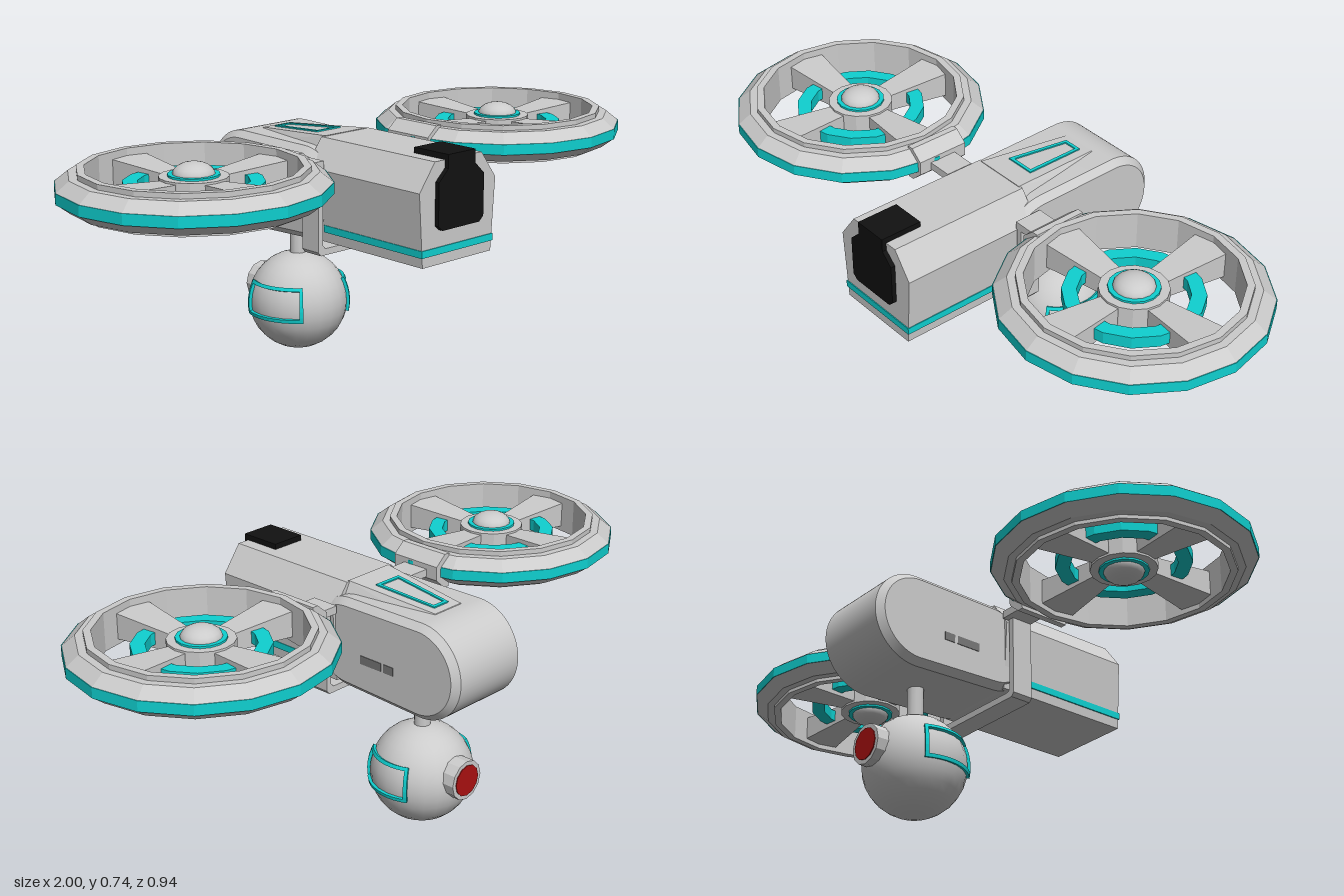
import * as THREE from 'three';
import { toCreasedNormals } from 'three/addons/utils/BufferGeometryUtils.js';
import { ConvexGeometry } from 'three/addons/geometries/ConvexGeometry.js';

const mat = (color, flatShading = false) => new THREE.MeshStandardMaterial({ color, flatShading });
const grey = mat(0xcccccc), greyFlat = mat(0xcccccc, true);
const cyan = mat(0x0fd0d0, true), black = mat(0x111111), slotGrey = mat(0x777777), red = mat(0xaa1111);

function add(parent, name, geometry, material, x = 0, y = 0, z = 0) {
  const mesh = new THREE.Mesh(geometry, material);
  mesh.name = name;
  mesh.position.set(x, y, z);
  parent.add(mesh);
  return mesh;
}

// Box given by its limits on each axis
function block(parent, name, material, [x0, x1], [y0, y1], [z0, z1]) {
  return add(parent, name, new THREE.BoxGeometry(x1 - x0, y1 - y0, z1 - z0), material,
    (x0 + x1) / 2, (y0 + y1) / 2, (z0 + z1) / 2);
}

const points = (list) => list.map(([x, y]) => new THREE.Vector2(x, y));

// Right half of an outline, mirrored in x and extruded along z
function mirroredExtrude(half, z0, z1) {
  const outline = points([...half, ...half.map(([x, y]) => [-x, y]).reverse()]);
  return new THREE.ExtrudeGeometry(new THREE.Shape(outline), { depth: z1 - z0, bevelEnabled: false })
    .translate(0, 0, z0);
}

// Solid between symmetric rectangles, each [z, y, halfWidth]
function hull(rows) {
  return new ConvexGeometry(rows.flatMap(([z, y, w]) =>
    [new THREE.Vector3(w, y, z), new THREE.Vector3(-w, y, z)]));
}

// Thick plate following a sphere
function spherePlate(p0, p1, t0, t1, r0, r1) {
  const g = new THREE.BoxGeometry(p1 - p0, t1 - t0, r1 - r0, 10, 6, 1);
  const pos = g.attributes.position;
  for (let i = 0; i < pos.count; i++) {
    const phi = (p0 + p1) / 2 + pos.getX(i);
    const theta = (t0 + t1) / 2 - pos.getY(i);
    const r = (r0 + r1) / 2 + pos.getZ(i);
    pos.setXYZ(i, -r * Math.cos(phi) * Math.sin(theta), r * Math.cos(theta), r * Math.sin(phi) * Math.sin(theta));
  }
  g.computeVertexNormals();
  return g;
}

function createBody() {
  const body = new THREE.Group();
  body.name = 'body';

  // Front housing with chamfered roof
  add(body, 'frontHousing', mirroredExtrude([[0.14, 0.425], [0.155, 0.642], [0.095, 0.723]], -0.005, 0.455), grey);
  block(body, 'housingStripe', cyan, [-0.146, 0.146], [0.455, 0.476], [0.06, 0.458]);

  // Dark front visor folding over the roof
  add(body, 'visor', mirroredExtrude(
    [[0.075, 0.525], [0.092, 0.54], [0.092, 0.665], [0.055, 0.7], [0.055, 0.74]], 0.452, 0.469), black);
  block(body, 'visorTop', black, [-0.055, 0.055], [0.715, 0.74], [0.335, 0.469]);

  // Rounded rear hull, profile drawn in z and y
  const profile = new THREE.Shape();
  profile.absarc(-0.045, 0.555, 0.14, -Math.PI / 2, Math.PI / 2);
  profile.absarc(-0.323, 0.551, 0.147, Math.PI / 2, Math.PI * 1.5);
  const hullGeo = new THREE.ExtrudeGeometry(profile, {
    depth: 0.25, curveSegments: 16, bevelSize: 0.02, bevelThickness: 0.02, bevelOffset: -0.02, bevelSegments: 1,
  }).translate(0, 0, -0.125).rotateY(-Math.PI / 2);
  add(body, 'rearHull', toCreasedNormals(hullGeo, 0.5), grey);

  // Tapered canopy with a bright trapezoid outline
  add(body, 'canopy', hull([
    [0, 0.66, 0.118], [0, 0.725, 0.085], [-0.31, 0.7, 0.055], [-0.325, 0.66, 0.078],
  ]), grey);
  const outline = new THREE.Shape(points([[-0.048, 0.075], [0.048, 0.075], [0.03, 0.285], [-0.03, 0.285]]));
  outline.holes.push(new THREE.Path(points([[-0.036, 0.086], [0.036, 0.086], [0.021, 0.274], [-0.021, 0.274]])));
  add(body, 'canopyOutline', new THREE.ExtrudeGeometry(outline, { depth: 0.006, bevelEnabled: false })
    .rotateX(-Math.PI / 2), cyan, 0, 0.723, 0).rotation.x = -0.08;

  // Side slots
  for (const s of [-1, 1]) {
    for (const [z0, z1] of [[-0.185, -0.105], [-0.232, -0.196]]) {
      add(body, 'sideSlot', new THREE.BoxGeometry(0.004, 0.026, z1 - z0), slotGrey, s * 0.145, 0.525, (z0 + z1) / 2);
    }
  }

  // U-shaped cradle under the body
  add(body, 'cradle', mirroredExtrude([
    [0.15, 0.408], [0.16, 0.418], [0.16, 0.672], [0.178, 0.672], [0.178, 0.4], [0.168, 0.388],
  ], 0, 0.07), grey);
  return body;
}

function createRotor(side) {
  const rotor = new THREE.Group();
  rotor.name = side > 0 ? 'leftRotor' : 'rightRotor';
  rotor.position.set(side * 0.617, 0.667, 0.046);

  // Duct ring with stepped lips
  add(rotor, 'duct', new THREE.LatheGeometry(points([
    [0.3, -0.055], [0.322, -0.055], [0.322, -0.044], [0.345, -0.044], [0.382, -0.016], [0.382, 0.016],
    [0.345, 0.046], [0.322, 0.046], [0.322, 0.061], [0.3, 0.061], [0.3, -0.055],
  ]), 16), greyFlat);
  add(rotor, 'ductBand', new THREE.LatheGeometry(points([
    [0.38, -0.016], [0.384, -0.016], [0.384, 0.016], [0.38, 0.016],
  ]), 16), cyan);

  // Inner ring and four flared spokes
  add(rotor, 'innerRing', new THREE.LatheGeometry(points([
    [0.155, -0.018], [0.197, -0.018], [0.197, 0.018], [0.155, 0.018], [0.155, -0.018],
  ]), 16), cyan);
  const spoke = hull([[0.07, -0.025, 0.032], [0.07, 0.025, 0.032], [0.305, -0.04, 0.062], [0.305, 0.04, 0.062]]);
  for (let i = 0; i < 4; i++) add(rotor, 'spoke', spoke, grey).rotation.y = i * Math.PI / 2;

  // Hub with domes on both faces
  add(rotor, 'hub', new THREE.CylinderGeometry(0.098, 0.098, 0.066, 16), greyFlat);
  add(rotor, 'hubBand', new THREE.CylinderGeometry(0.073, 0.073, 0.078, 16), cyan);
  for (const s of [-1, 1]) {
    const dome = new THREE.SphereGeometry(0.06, 16, 6, 0, Math.PI * 2, 0, Math.PI / 2);
    if (s < 0) dome.rotateX(Math.PI);
    add(rotor, 'hubDome', dome.scale(1, 0.6, 1), grey, 0, s * 0.036, 0);
  }
  return rotor;
}

function createArm(side) {
  const arm = new THREE.Group();
  arm.name = side > 0 ? 'leftArm' : 'rightArm';
  add(arm, 'strut', new THREE.BoxGeometry(0.1, 0.024, 0.09), grey, side * 0.205, 0.66, 0.025);
  // Clamp gripping the duct rim
  const clamp = new THREE.Shape(points([
    [0.235, 0.645], [0.235, 0.688], [0.272, 0.72], [0.292, 0.72], [0.292, 0.612], [0.272, 0.612],
  ].map(([x, y]) => [side * x, y])));
  add(arm, 'clamp', new THREE.ExtrudeGeometry(clamp, { depth: 0.17, bevelEnabled: false }), grey, 0, 0, -0.06);
  return arm;
}

function createCamera() {
  const pod = new THREE.Group();
  pod.name = 'cameraPod';
  pod.position.set(0.006, 0.158, -0.224);
  add(pod, 'stem', new THREE.CylinderGeometry(0.025, 0.025, 0.14, 12), grey, 0, 0.215, 0);
  add(pod, 'ball', new THREE.SphereGeometry(0.155, 24, 16), grey);

  // Curved frames on both cheeks
  const t0 = 1.09, t1 = 1.78, w = 0.07;
  for (const [p0, p1] of [[Math.PI - 0.93, Math.PI + 0.45], [-0.45, 0.93]]) {
    for (const bar of [[p0, p1, t0, t0 + w], [p0, p1, t1 - w, t1], [p0, p0 + w, t0, t1], [p1 - w, p1, t0, t1]]) {
      add(pod, 'cheekFrame', spherePlate(...bar, 0.148, 0.163), cyan);
    }
  }

  // Rear-facing lens
  const tube = new THREE.CylinderGeometry(0.062, 0.062, 0.075, 12).rotateX(Math.PI / 2);
  add(pod, 'lensBarrel', tube, greyFlat, 0, 0.025, -0.138);
  add(pod, 'lens', new THREE.CylinderGeometry(0.049, 0.049, 0.01, 12).rotateX(Math.PI / 2), red, 0, 0.025, -0.173);
  return pod;
}

export function createModel() {
  const model = new THREE.Group();
  model.name = 'drone';
  model.add(createBody(), createCamera());
  for (const side of [1, -1]) model.add(createRotor(side), createArm(side));
  return model;
}
